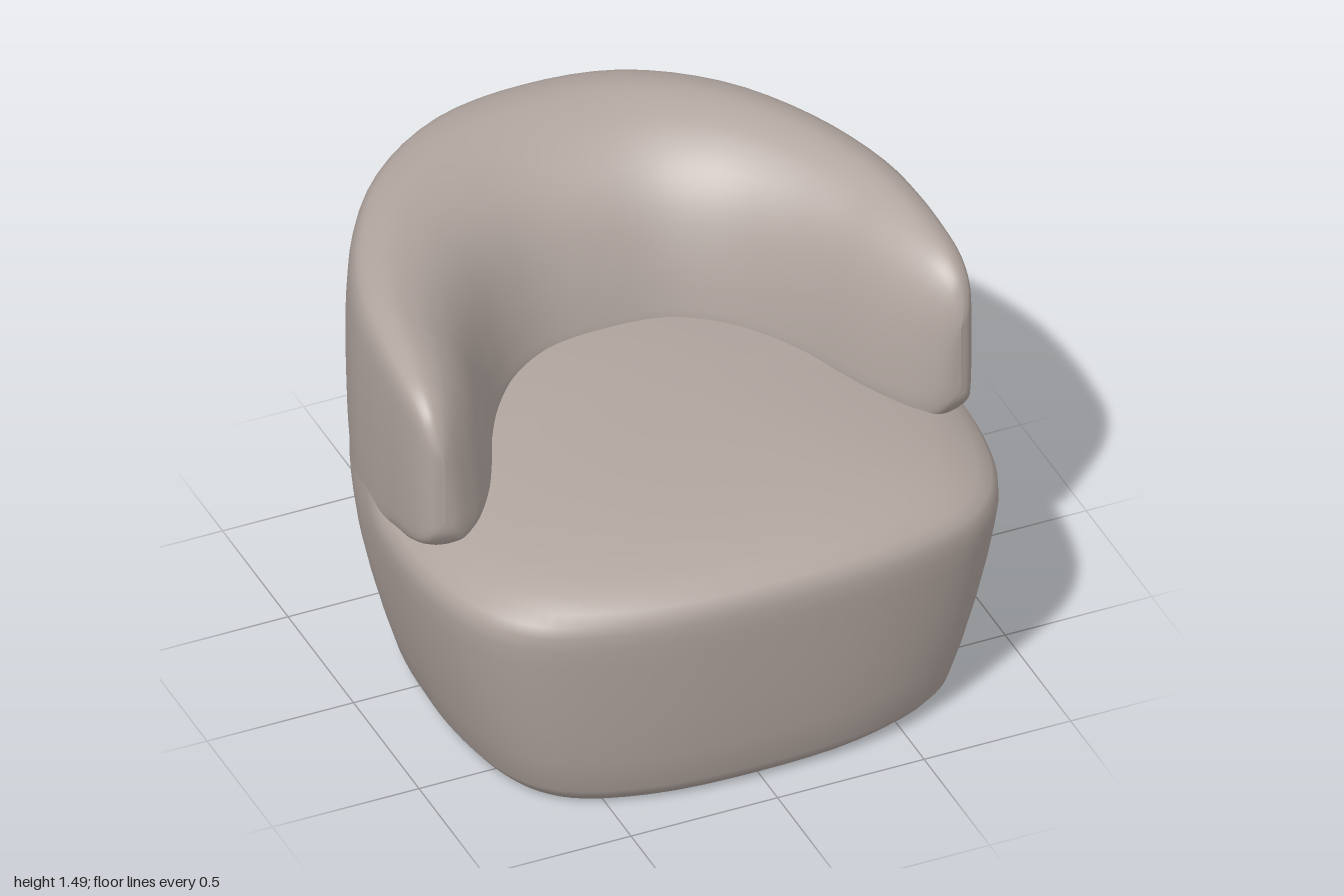
import * as THREE from 'three';

const V = (x, y, z) => new THREE.Vector3(x, y, z);
const { lerp, smoothstep } = THREE.MathUtils;

// Smooth surface over a grid of points; columns wrap round.
function gridGeometry(rows) {
  const n = rows[0].length, index = [];
  for (let r = 0; r < rows.length - 1; r++) {
    for (let c = 0; c < n; c++) {
      const d = (c + 1) % n;
      const p = r * n + c, q = r * n + d, s = p + n, t = q + n;
      index.push(p, s, t, p, t, q);
    }
  }
  const geometry = new THREE.BufferGeometry().setFromPoints(rows.flat());
  geometry.setIndex(index);
  geometry.computeVertexNormals();
  return geometry;
}

// Rounded seat body, open underneath, with a crowned cushion top.
function seatGeometry() {
  const half = [
    [0.32, -0.95], [0.6, -0.77], [0.8, -0.5], [0.92, -0.2], [0.953, 0], [0.962, 0.16],
    [0.965, 0.3], [0.95, 0.48], [0.91, 0.65], [0.84, 0.78], [0.72, 0.88], [0.42, 0.97],
  ];
  const plan = [[0, -1], ...half, [0, 0.997], ...half.slice().reverse().map(([x, z]) => [-x, z])];
  const outline = new THREE.CatmullRomCurve3(plan.map(([x, z]) => V(x, 0, z)), true).getPoints(96).slice(0, -1);
  // front: height, width scale, depth scale; rear: height, width scale, depth scale
  // the rear wall runs on upwards inside the back before turning in
  const levels = [
    [0, 0.793, 0.85, 0, 0.793, 0.8],
    [0.03, 0.818, 0.88, 0.03, 0.818, 0.83],
    [0.07, 0.848, 0.907, 0.07, 0.848, 0.86],
    [0.2, 0.89, 0.935, 0.2, 0.89, 0.9],
    [0.35, 0.932, 0.957, 0.35, 0.932, 0.93],
    [0.5, 0.967, 0.977, 0.5, 0.967, 0.953],
    [0.62, 0.99, 0.99, 0.62, 0.985, 0.967],
    [0.69, 1, 0.998, 0.69, 0.99, 0.974],
    [0.74, 0.997, 0.998, 0.75, 0.989, 0.979],
    [0.775, 0.975, 0.992, 0.81, 0.986, 0.983],
    [0.805, 0.93, 0.973, 0.88, 0.983, 0.985],
    [0.835, 0.87, 0.932, 0.94, 0.97, 0.975],
    [0.86, 0.8, 0.87, 0.92, 0.83, 0.83],
    [0.885, 0.69, 0.78, 0.9, 0.69, 0.69],
    [0.91, 0.54, 0.66, 0.91, 0.54, 0.54],
    [0.93, 0.36, 0.46, 0.93, 0.36, 0.36],
    [0.938, 0.18, 0.22, 0.938, 0.18, 0.18],
    [0.94, 0, 0, 0.94, 0, 0],
  ];
  return gridGeometry(levels.map(([yf, xf, zf, yr, xr, zr]) => outline.map((p) => {
    const rear = 1 - smoothstep(p.z, -0.1, 0.14);
    return V(p.x * lerp(xf, xr, rear), lerp(yf, yr, rear), p.z * (p.z > 0 ? zf : zr));
  })));
}

// Wraparound back: one padded section swept from arm tip to arm tip.
function backGeometry() {
  // outer x, outer z, inner x, inner z, top height, bottom height
  const stations = [
    [0.88, 0.432, 0.88, 0.432, 1.17, 0.94],
    [0.908, 0.423, 0.85, 0.431, 1.21, 0.9],
    [0.928, 0.402, 0.825, 0.425, 1.26, 0.87],
    [0.946, 0.36, 0.79, 0.407, 1.32, 0.83],
    [0.957, 0.28, 0.73, 0.36, 1.37, 0.79],
    [0.958, 0.16, 0.66, 0.27, 1.4, 0.75],
    [0.95, 0, 0.6, 0.16, 1.425, 0.66],
    [0.92, -0.2, 0.54, 0.03, 1.443, 0.6],
    [0.8, -0.5, 0.46, -0.1, 1.462, 0.6],
    [0.6, -0.77, 0.35, -0.22, 1.478, 0.6],
    [0.32, -0.95, 0.2, -0.3, 1.488, 0.6],
    [0, -1, 0, -0.32, 1.49, 0.6],
  ];
  const all = [...stations, ...stations.slice(0, -1).reverse().map(([a, b, c, d, h, l]) => [-a, b, -c, d, h, l])];
  const outer = new THREE.CatmullRomCurve3(all.map((s) => V(s[0], s[4], s[1])));
  const inner = new THREE.CatmullRomCurve3(all.map((s) => V(s[2], s[5], s[3])));

  // section from outside (u = 0) over the top to inside (u = 1)
  const section = [
    [0.22, 0], [0.06, 0.05], [0.022, 0.21], [0.006, 0.4], [0, 0.62], [0.01, 0.81],
    [0.03, 0.905], [0.075, 0.96], [0.16, 0.988], [0.28, 1], [0.42, 0.977], [0.55, 0.93],
    [0.69, 0.835], [0.82, 0.68], [0.92, 0.47], [0.98, 0.27], [1, 0.14], [0.95, 0.04], [0.78, 0],
  ];
  const loop = new THREE.CatmullRomCurve3(section.map(([u, v]) => V(u, v, 0)), true).getPoints(57).slice(0, -1);
  const rows = [], steps = 88;
  for (let i = 0; i <= steps; i++) {
    const o = outer.getPoint(i / steps), n = inner.getPoint(i / steps);
    const top = o.y, low = n.y, seatLow = Math.max(0.8, low);
    rows.push(loop.map(({ x: u, y: v }) => {
      const base = lerp(low, seatLow, smoothstep(u, 0.22, 0.78));
      return V(lerp(o.x, n.x, u), lerp(base, top, v), lerp(o.z, n.z, u));
    }));
  }
  return gridGeometry(rows);
}

export function createModel() {
  const fabric = new THREE.MeshStandardMaterial({ color: 0xb0a49e, side: THREE.DoubleSide });
  fabric.name = 'warm grey fabric';

  const chair = new THREE.Group();
  chair.name = 'tubChair';
  const parts = { seat: seatGeometry(), wraparoundBack: backGeometry() };
  for (const [name, geometry] of Object.entries(parts)) {
    const mesh = new THREE.Mesh(geometry, fabric);
    mesh.name = name;
    chair.add(mesh);
  }
  return chair;
}
